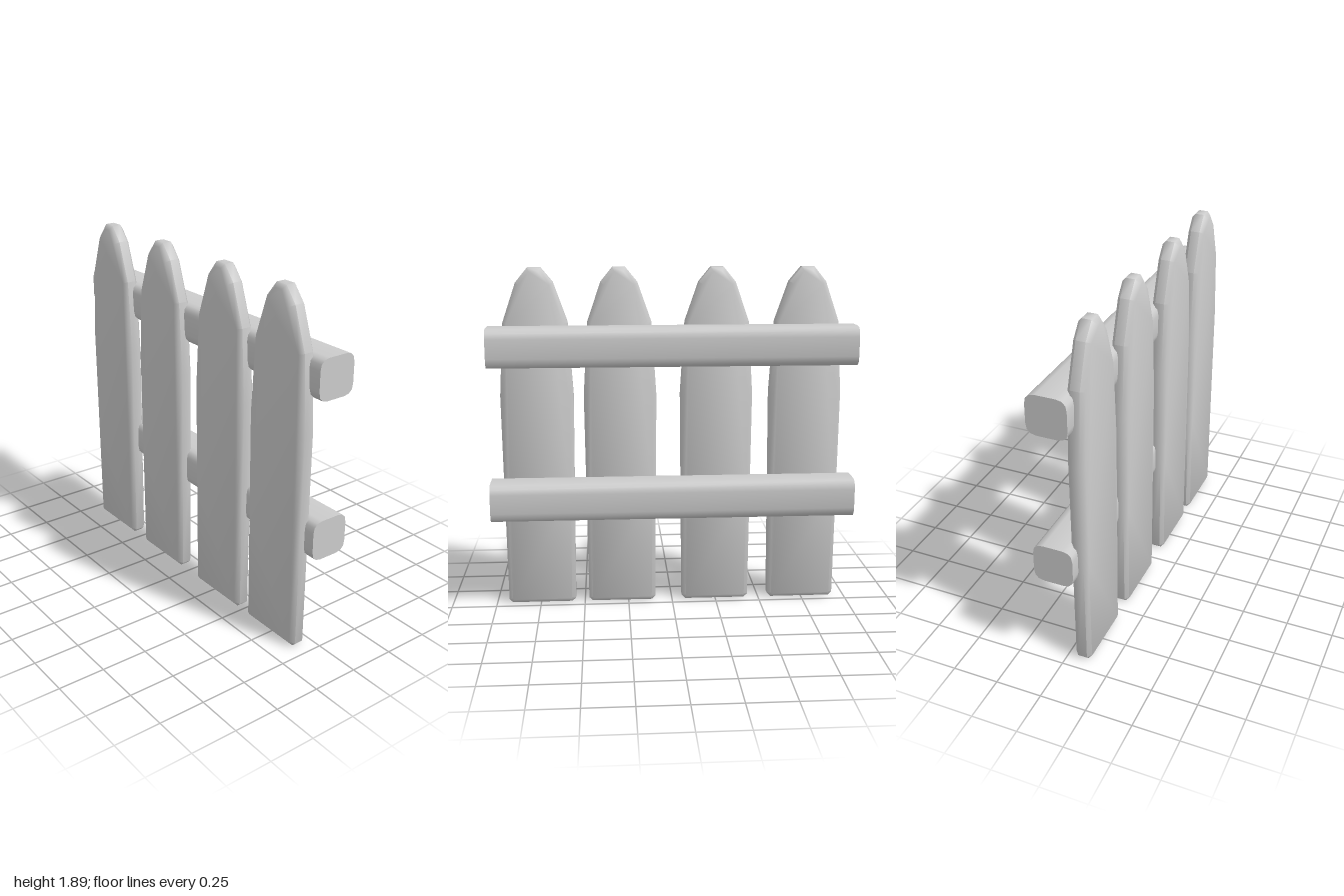
import * as THREE from 'three';
import { toCreasedNormals } from 'three/addons/utils/BufferGeometryUtils.js';

const material = new THREE.MeshStandardMaterial({ color: 0xcccccc });

// Pointed board: half-width and height pairs, mirrored, with bevelled edges
function picketGeometry() {
  const side = [
    [0.17, 0], [0.19, 0.02], [0.195, 0.62], [0.2, 1.2],
    [0.175, 1.6], [0.1, 1.815], [0.034, 1.895],
  ];
  const right = side.map(([x, y]) => new THREE.Vector2(x, y));
  const left = side.map(([x, y]) => new THREE.Vector2(-x, y)).reverse();
  const bevel = 0.02;
  const geometry = new THREE.ExtrudeGeometry(new THREE.Shape([...right, ...left]), {
    depth: 0.09 - 2 * bevel,
    bevelThickness: bevel,
    bevelSize: 0.022,
    bevelOffset: -0.022,
    bevelSegments: 1,
  });
  geometry.translate(0, 0, 0.04 + bevel);
  return toCreasedNormals(geometry, 0.85);
}

// Square beam with rounded long edges and flat ends, running along x
function railGeometry(length) {
  const h = 0.107, r = 0.055, k = h - r;
  const shape = new THREE.Shape();
  shape.moveTo(k, -h);
  shape.quadraticCurveTo(h, -h, h, -k);
  shape.lineTo(h, k);
  shape.quadraticCurveTo(h, h, k, h);
  shape.lineTo(-k, h);
  shape.quadraticCurveTo(-h, h, -h, k);
  shape.lineTo(-h, -k);
  shape.quadraticCurveTo(-h, -h, -k, -h);
  const geometry = new THREE.ExtrudeGeometry(shape, {
    depth: length, bevelEnabled: false, curveSegments: 3,
  });
  geometry.translate(0, 0, -length / 2);
  geometry.rotateY(Math.PI / 2);
  return toCreasedNormals(geometry, 0.85);
}

export function createModel() {
  const fence = new THREE.Group();
  fence.name = 'picketFence';

  function add(name, geometry, x, y, z) {
    const mesh = new THREE.Mesh(geometry, material);
    mesh.name = name;
    mesh.position.set(x, y, z);
    fence.add(mesh);
  }

  // Upright boards, unevenly spaced
  const picket = picketGeometry();
  [-0.743, -0.247, 0.286, 0.742].forEach((x, i) => add(`picket${i + 1}`, picket, x, 0, 0));

  // Horizontal rails behind the boards
  add('lowerRail', railGeometry(2), 0, 0.635, -0.026);
  add('upperRail', railGeometry(1.99), 0, 1.48, -0.026);

  return fence;
}
